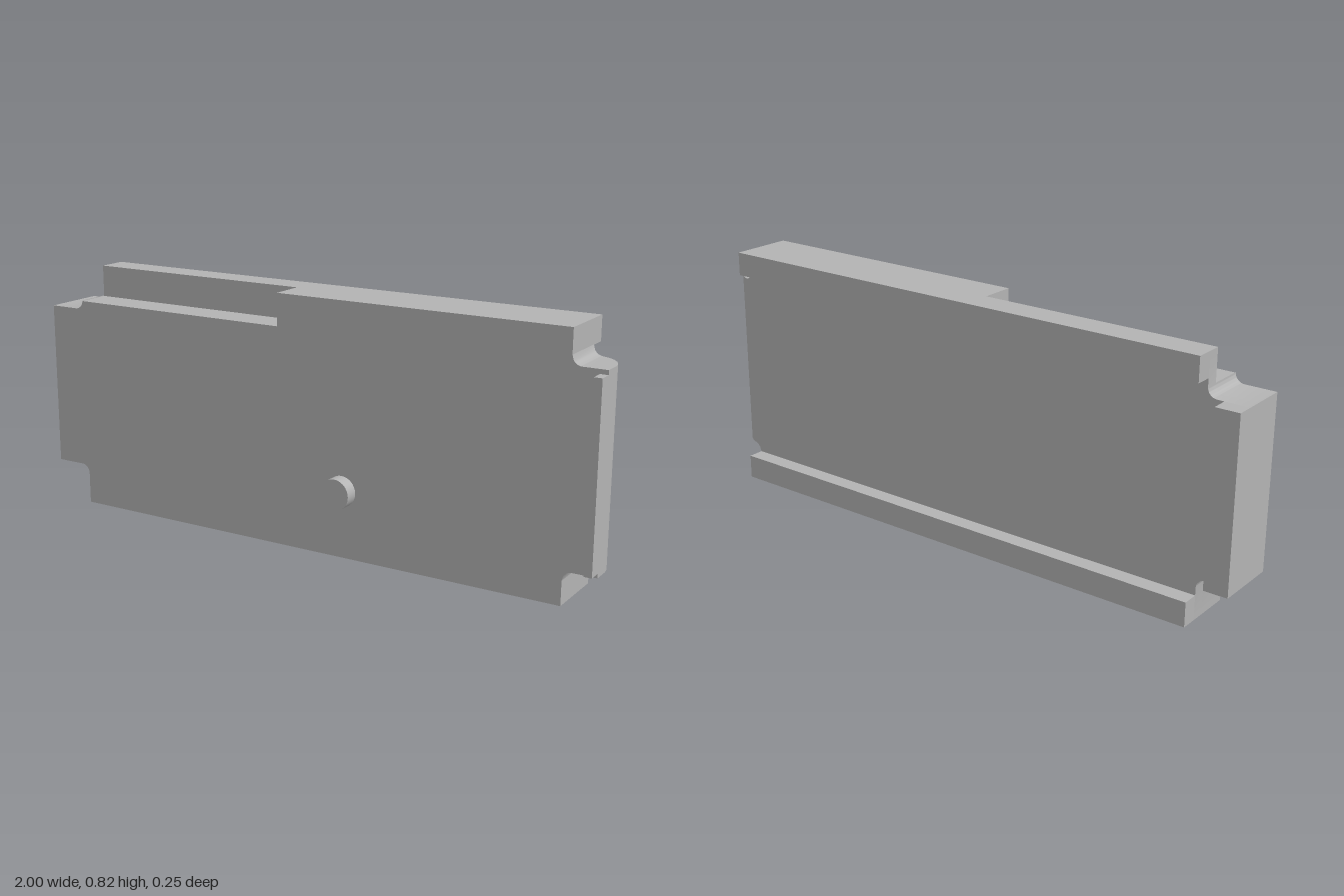
import * as THREE from 'three';
import { toCreasedNormals } from 'three/addons/utils/BufferGeometryUtils.js';

const BACK = -0.127, PLATE_BACK = -0.073, STEP = -0.03, FRONT = 0.083, LIP = 0.127;
const TOP = 0.818, LEFT = -0.87, RIGHT = 0.893;

export function createModel() {
  const group = new THREE.Group();
  const grey = new THREE.MeshStandardMaterial({ color: 0xb3b3b3 });
  grey.name = 'grey';

  const add = (name, geometry) => {
    const mesh = new THREE.Mesh(geometry, grey);
    mesh.name = name;
    group.add(mesh);
    return mesh;
  };
  // Box given by its limits on each axis
  const block = (name, x0, x1, y0, y1, z0, z1) =>
    add(name, new THREE.BoxGeometry(x1 - x0, y1 - y0, z1 - z0)
      .translate((x0 + x1) / 2, (y0 + y1) / 2, (z0 + z1) / 2));

  // Plate outline with a filleted tab on the left and an optional step at the top
  const plate = (name, z0, z1, stepped) => {
    const r = 0.03, s = new THREE.Shape();
    s.moveTo(LEFT, 0);
    s.lineTo(RIGHT, 0);
    s.lineTo(RIGHT, TOP);
    if (stepped) {
      s.lineTo(-0.08, TOP);
      s.lineTo(-0.08, 0.713);
      s.lineTo(LEFT, 0.713);
    } else {
      s.lineTo(LEFT, TOP);
      s.lineTo(LEFT, 0.685 + r);
    }
    s.absarc(LEFT - r, 0.685 + r, r, 0, -Math.PI / 2, true);
    s.lineTo(-1, 0.685);
    s.lineTo(-1, 0.135);
    s.lineTo(LEFT - r, 0.135);
    s.absarc(LEFT - r, 0.135 - r, r, Math.PI / 2, 0, true);
    s.closePath();
    const g = new THREE.ExtrudeGeometry(s, { depth: z1 - z0, bevelEnabled: false, curveSegments: 10 });
    add(name, toCreasedNormals(g.translate(0, 0, z0), 0.6));
  };
  plate('backPlate', PLATE_BACK, STEP, false);
  plate('frontPlate', STEP, FRONT, true);

  // Rails on the back
  block('bottomRail', LEFT, RIGHT, 0, 0.08, BACK, PLATE_BACK);
  block('topRail', LEFT, RIGHT, 0.74, TOP, BACK, PLATE_BACK);
  block('leftRail', -1, -0.922, 0.135, 0.685, BACK, PLATE_BACK);

  // Rounded right end: rectangular sections along x, with fillets at the root
  add('roundedEnd', roundedEnd());
  block('endLip', 0.975, 1, 0.122, 0.697, FRONT, LIP);

  // Pin on the front
  const pin = new THREE.CylinderGeometry(0.05, 0.05, LIP - FRONT, 40);
  add('pin', pin.rotateX(Math.PI / 2).translate(0.155, 0.218, (FRONT + LIP) / 2));

  return group;
}

function roundedEnd() {
  const R = 1 - RIGHT, r = 0.03, n = 36, points = [];
  const section = (i) => {
    const a = (i / n) * Math.PI / 2;
    const x = RIGHT + R * Math.sin(a);
    const z = PLATE_BACK + R * (1 - Math.cos(a));
    const d = Math.max(0, r - (x - RIGHT));
    const rise = r - Math.sqrt(r * r - d * d);
    const y0 = 0.108 - rise, y1 = 0.711 + rise;
    return [[x, y0, z], [x, y1, z], [x, y1, FRONT], [x, y0, FRONT]];
  };
  const quad = (a, b, c, d) => points.push(...a, ...b, ...c, ...a, ...c, ...d);
  for (let i = 0; i < n; i++) {
    const p = section(i), q = section(i + 1);
    for (let k = 0; k < 4; k++) {
      const m = (k + 1) % 4;
      quad(p[k], p[m], q[m], q[k]);
    }
  }
  const e = section(n);
  quad(e[0], e[1], e[2], e[3]);
  const g = new THREE.BufferGeometry();
  g.setAttribute('position', new THREE.Float32BufferAttribute(points, 3));
  return toCreasedNormals(g, 0.6);
}
